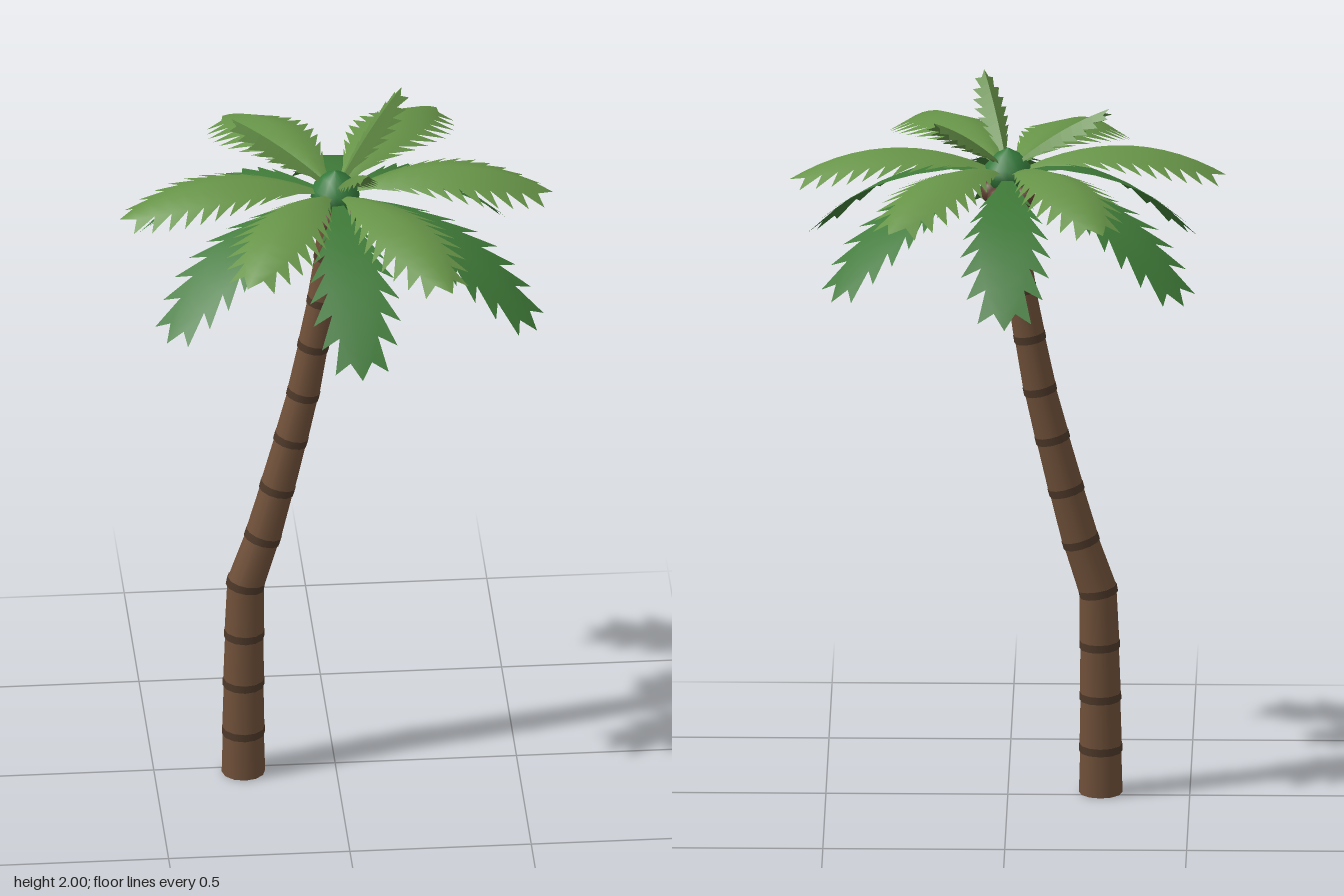
import * as THREE from 'three';

const mat = (color, extra = {}) => new THREE.MeshStandardMaterial({ color, ...extra });
const V = (x, y, z) => new THREE.Vector3(x, y, z);

// Tapered cylinder from point a to point b
function limb(name, a, b, ra, rb, material) {
  const dir = b.clone().sub(a);
  const mesh = new THREE.Mesh(new THREE.CylinderGeometry(rb, ra, dir.length(), 12), material);
  mesh.name = name;
  mesh.position.copy(a).add(b).multiplyScalar(0.5);
  mesh.quaternion.setFromUnitVectors(V(0, 1, 0), dir.normalize());
  return mesh;
}

// Serrated leaf along +x: spine is an arc, both halves fold down from it
function frondGeometry({ arc, teeth, width, start, skew, fold, sweep }) {
  const spine = new THREE.QuadraticBezierCurve3(...arc.map(([x, y]) => V(x, y, 0)));
  const halfWidth = t => width * Math.pow(Math.max(0, Math.sin(Math.PI * Math.pow(t, skew))), 0.7);
  const pos = [], index = [];
  const add = (t, w, side, forward = 0) => {
    const p = spine.getPoint(t);
    const tan = spine.getTangent(t);
    p.addScaledVector(tan, forward);
    pos.push(p.x + tan.y * fold * w, p.y - tan.x * fold * w, side * w);
    return pos.length / 3 - 1;
  };
  const tri = (side, a, b, c) => index.push(...(side > 0 ? [a, b, c] : [a, c, b]));
  const ts = [0];
  for (let i = 0; i <= teeth; i++) ts.push(start + (0.93 - start) * i / teeth);
  const mid = ts.map(t => add(t, 0, 1));
  const tip = add(1, 0, 1);
  for (const side of [1, -1]) {
    const notch = ts.map(t => add(t, t ? halfWidth(t) * 0.58 : 0.008, side));
    for (let i = 0; i < ts.length - 1; i++) {
      tri(side, mid[i], notch[i], mid[i + 1]);
      tri(side, notch[i], notch[i + 1], mid[i + 1]);
      if (i > 0) {
        const point = add(ts[i + 1], halfWidth((ts[i] + ts[i + 1]) / 2), side, sweep);
        tri(side, notch[i], point, notch[i + 1]);
      }
    }
    tri(side, mid[ts.length - 1], notch[ts.length - 1], tip);
  }
  const g = new THREE.BufferGeometry();
  g.setAttribute('position', new THREE.Float32BufferAttribute(pos, 3));
  g.setIndex(index);
  g.computeVertexNormals();
  return g;
}

// Fronds aimed at the given tip positions (x, z), stretched to reach them
function frondRing(name, spec, tips, material) {
  const ring = new THREE.Group();
  ring.name = name + 's';
  const geometry = frondGeometry(spec);
  for (const [x, z] of tips) {
    const frond = new THREE.Mesh(geometry, material);
    frond.name = name;
    frond.rotation.y = Math.atan2(-z, x);
    frond.scale.x = Math.hypot(x, z) / spec.arc[2][0];
    ring.add(frond);
  }
  return ring;
}

export function createModel() {
  const tree = new THREE.Group();
  tree.name = 'palmTree';
  const bark = mat(0x6f5039), ringMat = mat(0x4d3829), nutMat = mat(0x5e4032);
  const leaf = { side: THREE.DoubleSide };

  // Trunk: straight foot, a bend, then a lean that eases upright
  const trunk = new THREE.Group();
  trunk.name = 'trunk';
  const path = [[-0.255, 0], [-0.255, 0.13], [-0.254, 0.28], [-0.252, 0.43], [-0.248, 0.585],
    [-0.2, 0.73], [-0.16, 0.88], [-0.122, 1.03], [-0.088, 1.17], [-0.06, 1.32],
    [-0.036, 1.46], [-0.018, 1.6], [0, 1.78]]
    .map(([x, y]) => V(x, y, Math.max(0, 0.025 * (1 - y / 1.2))));
  const radius = y => 0.059 - 0.0125 * y;
  for (let i = 0; i < path.length - 1; i++) {
    const a = path[i], b = path[i + 1];
    trunk.add(limb('trunkSegment', a, b, radius(a.y) + 0.001, radius(b.y) - 0.001, bark));
    if (i > 0) {
      const d = b.clone().sub(path[i - 1]).normalize().multiplyScalar(0.011);
      const r = radius(a.y) + 0.002;
      trunk.add(limb('trunkRing', a.clone().sub(d), a.clone().add(d), r, r, ringMat));
    }
  }
  tree.add(trunk);

  // Crown heart where the fronds meet
  const heart = new THREE.Mesh(new THREE.LatheGeometry(
    [[0, 1.745], [0.045, 1.755], [0.068, 1.785], [0.062, 1.815], [0.035, 1.845], [0, 1.865]]
      .map(p => new THREE.Vector2(...p)), 12), mat(0x357a3c));
  heart.name = 'crownHeart';
  tree.add(heart);

  // Coconuts under the crown
  for (let i = 0; i < 4; i++) {
    const a = 0.5 + i * Math.PI / 2;
    const nut = new THREE.Mesh(new THREE.SphereGeometry(0.032, 12, 8), nutMat);
    nut.name = 'coconut';
    nut.position.set(0.052 * Math.cos(a), 1.73, 0.052 * Math.sin(a));
    tree.add(nut);
  }

  // Drooping lower fronds
  tree.add(frondRing('lowerFrond', {
    arc: [[0.03, 1.79], [0.34, 1.81], [0.58, 1.52]],
    teeth: 7, width: 0.125, start: 0.2, skew: 1.3, fold: 0.05, sweep: 0.03,
  }, [[0, -0.58], [0.48, -0.33], [0.53, 0.33], [0.03, 0.575], [-0.49, 0.32], [-0.49, -0.35]],
  mat(0x3f7a38, leaf)));

  // Arching upper fronds
  tree.add(frondRing('upperFrond', {
    arc: [[0.03, 1.8], [0.33, 1.94], [0.6, 1.77]],
    teeth: 10, width: 0.135, start: 0.12, skew: 1.15, fold: 0.35, sweep: 0.025,
  }, [[0.6, 0], [0.32, -0.5], [-0.27, -0.5], [-0.6, 0.06], [-0.28, 0.48], [0.28, 0.55]],
  mat(0x679448, leaf)));

  // Young upright fronds
  tree.add(frondRing('youngFrond', {
    arc: [[0.02, 1.82], [0.15, 1.94], [0.285, 2]],
    teeth: 7, width: 0.045, start: 0.15, skew: 1.15, fold: 0.9, sweep: 0.012,
  }, [[0.2, -0.21], [-0.28, -0.07], [0.07, 0.28]],
  mat(0x628d45, { ...leaf, flatShading: true })));

  return tree;
}
